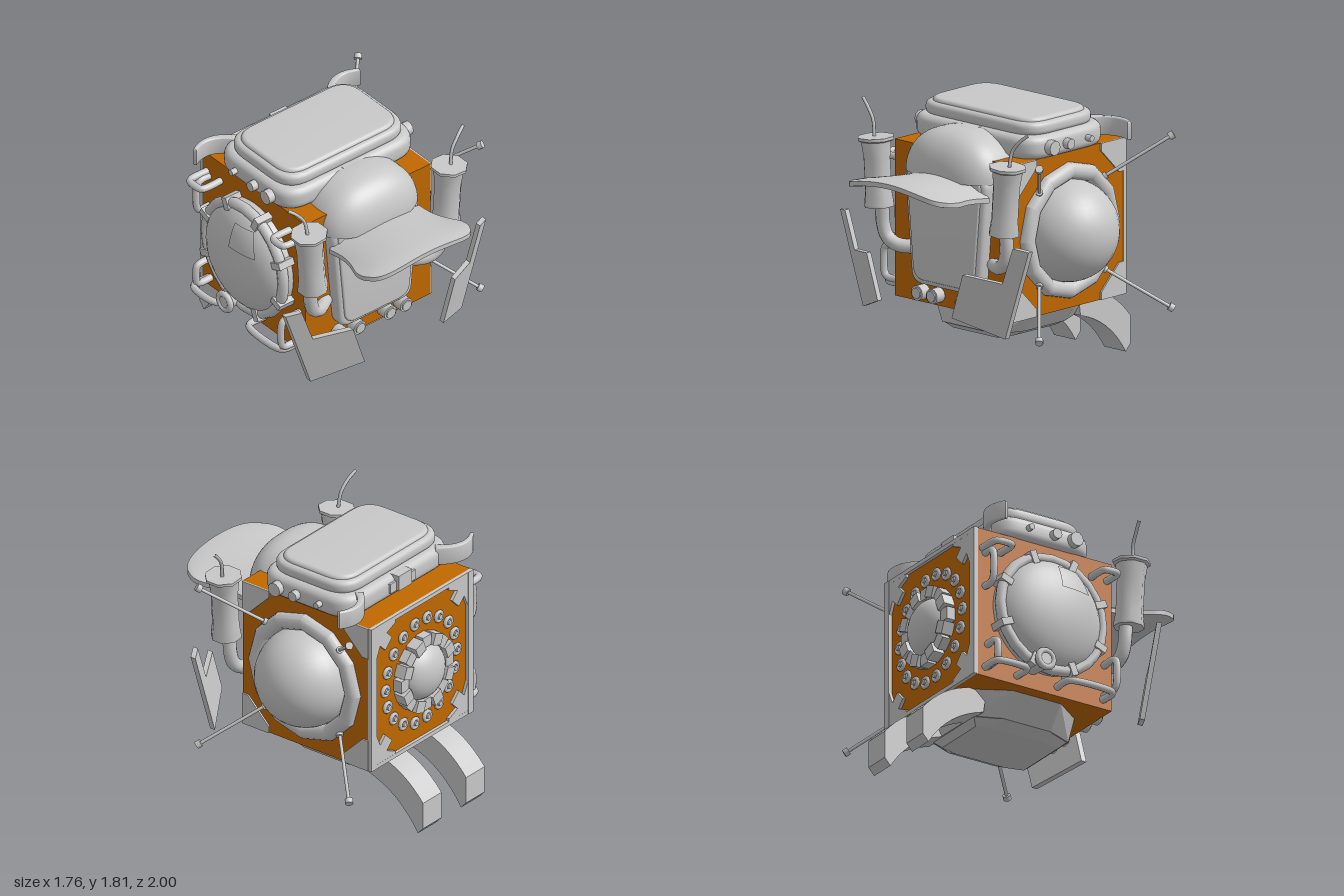
import * as THREE from 'three';
import { toCreasedNormals } from 'three/addons/utils/BufferGeometryUtils.js';
import { ConvexGeometry } from 'three/addons/geometries/ConvexGeometry.js';

const V = (x, y, z) => new THREE.Vector3(x, y, z);
const CY = 1.008, CZ = -0.178, H = 0.533; // centre and half size of the cube body

export function createModel() {
  const grey = new THREE.MeshStandardMaterial({ color: 0xc8c8c8 });
  grey.name = 'lightGrey';
  const orange = new THREE.MeshStandardMaterial({ color: 0xc06800 });
  orange.name = 'orange';

  const root = new THREE.Group();
  root.name = 'cubeRobot';
  root.position.x = -0.025;

  const add = (name, geo, x = 0, y = 0, z = 0, parent = root, mat = grey) => {
    const m = new THREE.Mesh(geo, mat);
    m.name = name;
    m.position.set(x, y, z);
    parent.add(m);
    return m;
  };
  const poly = (pts) => new THREE.Shape(pts.map((p) => new THREE.Vector2(p[0], p[1])));
  const extrude = (shape, depth, bevel = 0, segs = 3) => toCreasedNormals(new THREE.ExtrudeGeometry(shape, {
    depth: depth - 2 * bevel, bevelEnabled: bevel > 0, bevelThickness: bevel,
    bevelSize: bevel, bevelOffset: -bevel, bevelSegments: segs, curveSegments: 8,
  }).translate(0, 0, bevel), 0.6);
  const tube = (pts, r, segs = 24, sides = 10) =>
    new THREE.TubeGeometry(new THREE.CatmullRomCurve3(pts, false, 'centripetal'), segs, r, sides);
  // polygon with rounded corners
  const roundPoly = (pts, r) => {
    const s = new THREE.Shape();
    pts.forEach((p, i) => {
      const c = new THREE.Vector2(...p);
      const toward = (q) => new THREE.Vector2(...q).sub(c).setLength(r).add(c);
      const a = toward(pts[(i + pts.length - 1) % pts.length]), b = toward(pts[(i + 1) % pts.length]);
      if (i) s.lineTo(a.x, a.y); else s.moveTo(a.x, a.y);
      s.quadraticCurveTo(c.x, c.y, b.x, b.y);
    });
    s.closePath();
    return s;
  };
  const rect = (w, h) => [[-w, -h], [w, -h], [w, h], [-w, h]];
  // move every vertex by a rule
  const warp = (geo, rule) => {
    const p = geo.attributes.position;
    for (let i = 0; i < p.count; i++) p.setXYZ(i, ...rule(p.getX(i), p.getY(i), p.getZ(i)));
    geo.computeVertexNormals();
    return geo;
  };
  const soft = (v, e) => Math.sign(v) * Math.abs(v) ** e;
  // a mirrored pair: built once for the -x side and flipped for the other
  const pair = (name, build) => [1, -1].forEach((s) => {
    const g = new THREE.Group();
    g.name = name;
    g.scale.x = s;
    build(g);
    root.add(g);
  });

  // body
  add('body', new THREE.BoxGeometry(2 * H, 2 * H, 2 * H), 0, CY, CZ, root, orange);

  // tapered base below the body: octagons from front z to back z
  const octagon = (hx, front, back, fx, y) => [1, -1].flatMap((s) => [
    V(s * hx, y, CZ + 0.19), V(s * hx, y, CZ - 0.19), V(s * fx, y, front), V(s * fx, y, back)]);
  add('base', new ConvexGeometry([...octagon(0.445, 0.215, -0.635, 0.3, 0.476), ...octagon(0.325, 0.2, -0.55, 0.25, 0.318)]));
  add('baseCap', new ConvexGeometry([...octagon(0.32, 0.195, -0.545, 0.245, 0.32), ...octagon(0.235, 0.145, -0.5, 0.2, 0.275)]));

  // curved rear legs
  const leg = new THREE.Shape();
  leg.moveTo(0.5, 0.46);
  leg.lineTo(0.63, 0.475);
  leg.quadraticCurveTo(0.84, 0.43, 1.0, 0.24);
  leg.lineTo(1.0, 0.05);
  leg.lineTo(0.955, 0);
  leg.quadraticCurveTo(0.8, 0.25, 0.52, 0.325);
  const legGeo = extrude(leg, 0.195).rotateY(Math.PI / 2);
  for (const x of [-0.325, 0.13]) add('rearLeg', legGeo, x);

  // front face panel with raised pane
  const face = (k) => roundPoly([[-0.305 + k, 0.62 + k], [0.305 - k, 0.62 + k], [0.375 - k, 1.43], [-0.375 + k, 1.43]], 0.09);
  add('facePanel', extrude(face(0), 0.11, 0.03), 0, 0, 0.335);
  add('facePane', extrude(face(0.035), 0.03, 0.012), 0, 0, 0.428);

  // cap crown: a half sphere squared off in plan
  add('capCrown', warp(new THREE.SphereGeometry(1, 48, 16, 0, Math.PI * 2, 0, Math.PI / 2),
    (x, y, z) => [0.4 * soft(x, 0.78), 0.31 * y, 0.28 * soft(z, 0.72)]), 0, 1.39, 0.265);

  // cap brim: a slab bent down at the sides, widened and rounded to the front
  add('capBrim', warp(new THREE.BoxGeometry(2, 0.06, 1, 28, 2, 14), (s, y, z) => {
    const t = z + 0.5, edge = 1 - 0.45 * Math.max(s ** 8, t ** 8);
    const w = 0.385 - 0.03 * Math.sin(Math.PI * Math.min(t * 1.3, 1)) + 0.085 * t - 0.03 * t ** 12;
    return [s * w, y * edge + 1.385 + 0.04 * t - s * s * (0.095 - 0.02 * t), 0.42 + t * (0.575 - 0.07 * s ** 4 - 0.05 * s ** 14)];
  }));

  // front lamps
  for (const x of [-0.265, -0.13, 0.13, 0.265]) {
    add('lampHousing', new THREE.CylinderGeometry(0.052, 0.052, 0.08, 12).rotateX(Math.PI / 2), x, 0.55, 0.39);
    add('lampLens', new THREE.CylinderGeometry(0.038, 0.038, 0.01, 12).rotateX(Math.PI / 2), x, 0.55, 0.435);
  }

  // exhaust stacks with elbow pipe and thin whip
  const muffler = new THREE.LatheGeometry([[0, 0], [0.105, 0], [0.105, 0.02], [0.094, 0.1], [0.094, 0.33], [0.108, 0.44],
    [0.127, 0.45], [0.127, 0.47], [0, 0.47]].map((p) => new THREE.Vector2(...p)), 8, Math.PI / 8);
  pair('exhaust', (g) => {
    add('muffler', toCreasedNormals(muffler, 0.85), -0.565, 1.1, 0.47, g).rotation.z = 0.07;
    add('elbowPipe', tube([V(-0.56, 1.13, 0.45), V(-0.56, 0.98, 0.44), V(-0.53, 0.89, 0.43), V(-0.46, 0.845, 0.41), V(-0.35, 0.835, 0.34)], 0.047), 0, 0, 0, g);
    add('whip', tube([V(-0.61, 1.55, 0.47), V(-0.63, 1.67, 0.46), V(-0.68, 1.74, 0.45), V(-0.75, 1.8, 0.43)], 0.012, 16, 8), 0, 0, 0, g);
  });

  // notched front fender plates, slanted forward towards the middle
  const plate = new THREE.ExtrudeGeometry(poly([[-0.855, 1.04], [-0.76, 1.06], [-0.67, 0.805], [-0.435, 0.85], [-0.335, 0.54], [-0.645, 0.415]]), { depth: 0.04, bevelEnabled: false });
  warp(plate, (x, y, z) => [x, y, z + 0.5 + 0.56 * ((x + 0.855) * 0.95 + (y - 1.04) * 0.31)]);
  pair('fenderPlate', (g) => add('plate', plate, 0, 0, 0, g));

  // roof pack with lid, latches and side knobs
  const slab = (w, d, r, h, bevel) => extrude(roundPoly(rect(w, d), r), h, bevel, 5).rotateX(-Math.PI / 2);
  add('roofPack', slab(0.57, 0.385, 0.2, 0.16, 0.055), 0, 1.535, -0.172);
  add('packLid', slab(0.525, 0.335, 0.19, 0.09, 0.035), 0, 1.685, -0.17);
  add('lidPanel', slab(0.485, 0.295, 0.16, 0.06, 0.028), 0, 1.74, -0.17);
  for (const [z, w] of [[0.18, 0.15], [-0.555, 0.14]]) {
    add('latch', new THREE.BoxGeometry(w, 0.11, 0.07), 0, 1.64, z);
    add('latchWing', new THREE.BoxGeometry(w * 1.9, 0.07, 0.03), 0, 1.62, z);
  }
  pair('packSide', (g) => {
    for (const [z, r] of [[0.03, 0.05], [-0.125, 0.036], [-0.325, 0.022]])
      add('knob', new THREE.CylinderGeometry(r, r, 0.08, 10).rotateZ(Math.PI / 2), -0.575, 1.615, z, g);
    // curled rear flap
    const flap = new THREE.Shape();
    flap.moveTo(-0.38, 0.54);
    flap.bezierCurveTo(-0.48, 0.66, -0.6, 0.68, -0.71, 0.6);
    flap.lineTo(-0.7, 0.575);
    flap.bezierCurveTo(-0.6, 0.635, -0.5, 0.62, -0.42, 0.5);
    add('rearFlap', extrude(flap, 0.13, 0.01).rotateX(-Math.PI / 2), 0, 1.57, 0, g);
  });

  // four copies of a plate, one in each corner of a cube face
  const corners = (geo, parent) => {
    for (let i = 0; i < 4; i++) {
      const holder = new THREE.Group();
      holder.name = 'cornerHolder';
      holder.rotation.z = i * Math.PI / 2;
      add('cornerPlate', geo, -H, -H, 0, holder);
      parent.add(holder);
    }
  };

  // side with round dome, faceted ring and four rods
  const right = new THREE.Group();
  right.name = 'domeSide';
  right.position.set(H, CY, CZ);
  right.rotation.y = Math.PI / 2;
  root.add(right);
  corners(extrude(poly([[0, 0], [0.225, 0], [0.225, 0.05], [0.05, 0.225], [0, 0.225]]), 0.012), right);
  add('sideDome', new THREE.SphereGeometry(0.345, 32, 24), 0, 0, 0, right);
  add('sideRing', toCreasedNormals(new THREE.TorusGeometry(0.407, 0.058, 14, 12), 0.48), 0, 0, 0.01, right);
  for (const a of [1, -1]) for (const b of [1, -1]) {
    const p = V(a * 0.295, b * 0.3, 0.02), q = V(a * 0.635, b * 0.585, 0.34);
    add('rod', tube([p, q], 0.012, 1, 8), 0, 0, 0, right);
    const dir = q.clone().sub(p).normalize();
    for (const [at, r] of [[q, 0.027], [p.clone().addScaledVector(dir, 0.03), 0.024]]) {
      const tip = add('rodEnd', new THREE.CylinderGeometry(r, r, 0.035, 10), at.x, at.y, at.z, right);
      tip.quaternion.setFromUnitVectors(V(0, 1, 0), dir);
    }
  }

  // opposite side: fuller but flatter dome, clamped ring, hatch, pipes and nozzle
  const left = new THREE.Group();
  left.name = 'pipeSide';
  left.position.set(-H, CY, CZ);
  left.rotation.y = -Math.PI / 2; // local x runs to +z, local z points outward
  root.add(left);
  const bulge = (r, depth, ...arc) => warp(new THREE.SphereGeometry(1, 32, 24, ...arc),
    (x, y, z) => [r * x, r * y, depth * soft(z, 0.8)]);
  add('flatDome', bulge(0.405, 0.222), 0, 0, 0, left);
  add('hatch', bulge(0.42, 0.235, Math.PI * 0.5, Math.PI * 0.2, Math.PI * 0.22, Math.PI * 0.16), 0, 0, 0, left);
  add('pipeRing', new THREE.TorusGeometry(0.4, 0.038, 8, 24), 0, 0, 0.08, left);
  for (let i = 0; i < 8; i++) {
    const a = (i + 0.5) * Math.PI / 4;
    add('ringClamp', new THREE.BoxGeometry(0.09, 0.05, 0.13), 0.4 * Math.cos(a), 0.4 * Math.sin(a), 0.06, left).rotation.z = a;
  }
  const handle = (x0, y0, x1, y1, out) => add('pipeLoop', tube([V(x0, y0, -0.02), V(x0, y0, out - 0.03), V(x0 * 0.9 + x1 * 0.1, y0 * 0.9 + y1 * 0.1, out),
    V(x0 * 0.1 + x1 * 0.9, y0 * 0.1 + y1 * 0.9, out), V(x1, y1, out - 0.03), V(x1, y1, -0.02)], 0.025, 32, 8), 0, 0, 0, left);
  handle(-0.49, 0.39, -0.35, 0.39, 0.16);
  handle(-0.47, 0.36, -0.47, 0.12, 0.1);
  handle(0.37, 0.4, 0.49, 0.4, 0.15);
  handle(-0.47, -0.47, -0.22, -0.47, 0.15);
  handle(-0.45, -0.46, -0.45, -0.3, 0.12);
  handle(0.1, -0.47, 0.46, -0.47, 0.15);
  handle(0.47, -0.44, 0.47, -0.22, 0.15);
  add('nozzle', new THREE.CylinderGeometry(0.06, 0.05, 0.18, 12).rotateX(Math.PI / 2), -0.1, -0.38, 0.09, left);
  add('nozzleRim', new THREE.TorusGeometry(0.06, 0.022, 8, 12), -0.1, -0.38, 0.17, left);

  // back: border strips, pronged corner brackets, bolt circle, block ring and dome
  const back = new THREE.Group();
  back.name = 'backSide';
  back.position.set(0, CY, CZ - H);
  back.rotation.y = Math.PI;
  root.add(back);
  corners(extrude(poly([[0, 0], [0.25, 0], [0.25, 0.05], [0.16, 0.09], [0.215, 0.145], [0.145, 0.215], [0.09, 0.16], [0.05, 0.25], [0, 0.25]]), 0.022), back);
  for (const s of [-1, 1]) {
    add('sideStrip', new THREE.BoxGeometry(0.055, 2 * H, 0.03), s * (H - 0.022), 0, 0.01, back);
    add('crossStrip', new THREE.BoxGeometry(2 * H, 0.03, 0.025), 0, s * (H - 0.015), 0.01, back);
  }
  for (let i = 0; i < 18; i++) {
    const a = i * Math.PI / 9, x = 0.375 * Math.cos(a), y = 0.375 * Math.sin(a);
    add('boltRing', new THREE.TorusGeometry(0.033, 0.014, 6, 10), x, y, 0.012, back);
    add('bolt', new THREE.CylinderGeometry(0.018, 0.018, 0.04, 8).rotateX(Math.PI / 2), x, y, 0.01, back);
  }
  for (let i = 0; i < 16; i++) {
    const a = i * Math.PI / 8, big = i % 2;
    add('ringBlock', new THREE.BoxGeometry(0.08, 0.088, big ? 0.09 : 0.07), 0.235 * Math.cos(a), 0.235 * Math.sin(a), big ? 0.04 : 0.03, back).rotation.z = a;
  }
  add('backDome', new THREE.SphereGeometry(1, 28, 20).scale(0.205, 0.205, 0.145), 0, 0, 0, back);

  const model = new THREE.Group();
  model.name = 'model';
  model.add(root);
  return model;
}
